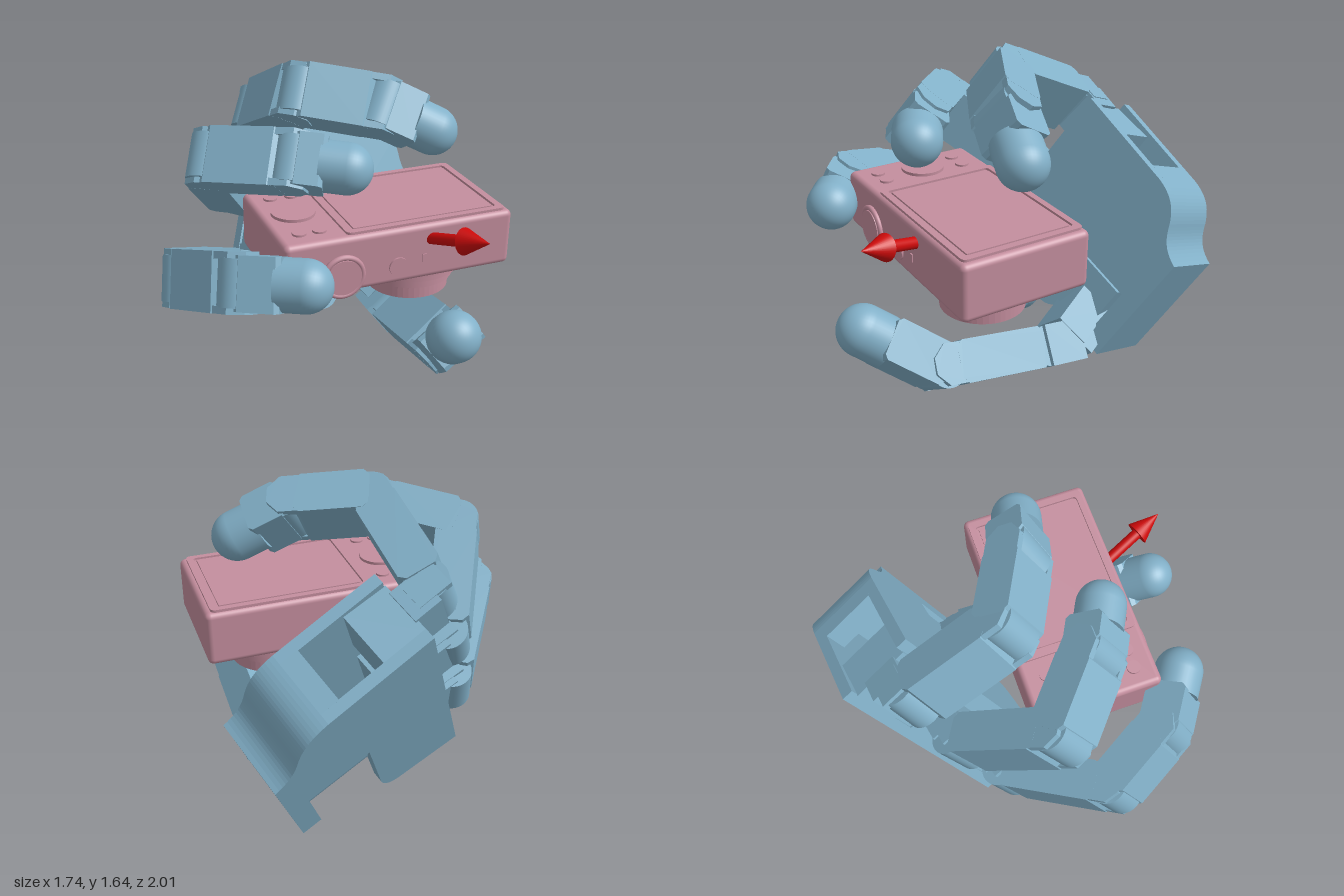
import * as THREE from 'three';
import { RoundedBoxGeometry } from 'three/addons/geometries/RoundedBoxGeometry.js';

const V = (x, y, z) => new THREE.Vector3(x, y, z);
const handMat = new THREE.MeshStandardMaterial({ color: 0x82b0c8 });
const camMat = new THREE.MeshStandardMaterial({ color: 0xc48e9e });
const arrowMat = new THREE.MeshStandardMaterial({ color: 0xcc0a0a });

function add(parent, name, geo, mat, x = 0, y = 0, z = 0) {
  const m = new THREE.Mesh(geo, mat);
  m.name = name;
  m.position.set(x, y, z);
  parent.add(m);
  return m;
}

// Group at p with the given local axes
function frame(name, p, ax, ay, az) {
  const g = new THREE.Group();
  g.name = name;
  g.quaternion.setFromRotationMatrix(new THREE.Matrix4().makeBasis(ax, ay, az));
  g.position.copy(p);
  return g;
}

// Local x = hinge, local y = from p to q
function along(name, p, q, hinge) {
  const y = q.clone().sub(p).normalize();
  const x = hinge.clone().addScaledVector(y, -hinge.dot(y)).normalize();
  return frame(name, p, x, y, x.clone().cross(y));
}

// Side profile with chamfered ends, extruded to width w
function linkGeo(a, b, d, w, c = 0.04) {
  const h = d / 2;
  const s = new THREE.Shape([[a, -h + c], [a + c, -h], [b - c, -h], [b, -h + c], [b, h - c], [b - c, h], [a + c, h], [a, h - c]]
    .map(([l, t]) => new THREE.Vector2(t, l)));
  const g = new THREE.ExtrudeGeometry(s, { depth: w, bevelEnabled: false });
  return g.translate(0, 0, -w / 2).rotateY(Math.PI / 2);
}

const WIDTH = 0.285, DEPTH = 0.208;

// One phalanx: body, round knuckle at its start, clevis cheeks at its end
function phalanx(name, p, q, hinge, first, last) {
  const g = along(name, p, q, hinge), L = p.distanceTo(q);
  add(g, 'knuckle', new THREE.CylinderGeometry(0.104, 0.104, WIDTH - 0.06, 40).rotateZ(Math.PI / 2), handMat);
  if (last) {
    add(g, 'body', linkGeo(0, L - 0.1, DEPTH, WIDTH - 0.03, 0.02), handMat);
    add(g, 'tipSleeve', new THREE.CylinderGeometry(0.127, 0.127, 0.13, 40), handMat, 0, L - 0.065);
    add(g, 'fingertip', new THREE.SphereGeometry(0.127, 40, 24), handMat, 0, L);
  } else {
    add(g, 'body', linkGeo(first ? 0.04 : 0, L - 0.05, DEPTH, WIDTH, 0.03), handMat);
    for (const s of [-1, 1])
      add(g, 'cheek', linkGeo(L - 0.16, L + 0.08, DEPTH - 0.01, 0.035, 0.06), handMat, s * (WIDTH / 2 - 0.018));
  }
  return g;
}

function digit(name, joints, hinge) {
  const g = new THREE.Group();
  g.name = name;
  const [a, b] = joints, n = joints.length;
  const h = hinge || b.clone().sub(a).cross(joints[n - 1].clone().sub(b)).normalize();
  for (let i = 0; i + 1 < n; i++)
    g.add(phalanx('phalanx' + (i + 1), joints[i], joints[i + 1], h, i === 0, i + 2 === n));
  return g;
}

// Outer edge from the narrow wrist out to full palm width
function wristCurve(s) {
  s.lineTo(0.285, -0.95);
  s.bezierCurveTo(0.31, -0.85, 0.36, -0.82, 0.42, -0.79);
  s.bezierCurveTo(0.49, -0.75, 0.53, -0.7, 0.545, -0.6);
}

// Local x across the palm, y toward the fingers, z out of the palm
function buildPalm() {
  const y = V(-0.894, 0.424, 0.149).normalize();
  const z = V(0.316, 0.357, 0.88);
  z.addScaledVector(y, -z.dot(y)).normalize();
  const g = frame('palm', V(-0.136, 0.777, -0.478), y.clone().cross(z), y, z);

  // Front and back plates with the thumb notch
  const s = new THREE.Shape();
  s.moveTo(-0.345, -0.95);
  wristCurve(s);
  s.lineTo(0.59, -0.02);
  s.lineTo(-0.63, 0);
  s.lineTo(-0.58, -0.36);
  s.quadraticCurveTo(-0.57, -0.47, -0.46, -0.48);
  s.lineTo(-0.02, -0.48);
  s.lineTo(-0.02, -0.84);
  s.lineTo(-0.345, -0.84);
  s.closePath();
  const plate = new THREE.ExtrudeGeometry(s, { depth: 0.06, bevelEnabled: false, curveSegments: 12 });
  add(g, 'frontPlate', plate, handMat, 0, 0, 0.152);
  add(g, 'backPlate', plate, handMat, 0, 0, -0.212);

  // Solid wrist side between the plates
  const w = new THREE.Shape();
  w.moveTo(-0.345, -0.95);
  wristCurve(w);
  w.lineTo(0.553, -0.5);
  w.lineTo(0.42, -0.5);
  w.lineTo(0.28, -0.84);
  w.lineTo(-0.345, -0.84);
  w.closePath();
  add(g, 'wristBlock', new THREE.ExtrudeGeometry(w, { depth: 0.31, bevelEnabled: false, curveSegments: 12 }), handMat, 0, 0, -0.155);

  // Finger mounts, one short swivel link each
  for (const k of [-1, 0, 1]) {
    add(g, 'fingerMotor', new THREE.BoxGeometry(0.28, 0.24, 0.31), handMat, k * 0.41, -0.13, 0);
    const m = add(g, 'swivelLink', new THREE.BoxGeometry(WIDTH - 0.04, 0.15, DEPTH - 0.02), handMat, k * 0.45, 0.06, 0.01);
    m.rotation.z = -k * 0.087;
    for (const c of [-1, 1]) {
      const e = add(g, 'swivelCheek', new THREE.BoxGeometry(0.035, 0.18, 0.14), handMat, k * 0.455 + c * 0.11, 0.12, 0.02);
      e.rotation.z = -k * 0.087;
    }
  }
  add(g, 'mountRail', new THREE.BoxGeometry(1.0, 0.08, 0.31), handMat, -0.02, -0.06, 0);

  // Thumb motor in the notch
  add(g, 'thumbMotor', new THREE.CylinderGeometry(0.1, 0.1, 0.36, 32), handMat, -0.14, -0.66, -0.07);
  add(g, 'thumbMount', new THREE.BoxGeometry(0.28, 0.3, 0.18), handMat, -0.18, -0.66, 0.1);
  return g;
}

function buildThumb() {
  const base = V(0.52, 0.18, -0.2), j1 = V(0.51, 0.195, -0.02), j2 = V(0.51, 0.285, 0.56), tip = V(0.383, 0.53, 0.88);
  const hinge = V(0.8, 0.6, 0).normalize();
  const g = digit('thumb', [j1, j2, tip], hinge);
  // Swivel link and bracket leading back into the notch
  const swivel = along('thumbSwivel', base, j1, hinge);
  add(swivel, 'swivelBody', new THREE.BoxGeometry(WIDTH, 0.2, DEPTH), handMat, 0, 0.09, 0);
  g.add(swivel);
  const arm = along('thumbBracket', V(0.43, 0.32, -0.36), V(0.52, 0.23, -0.14), hinge);
  add(arm, 'bracketBody', new THREE.BoxGeometry(0.24, 0.24, 0.18), handMat, 0, 0.12, 0);
  add(arm, 'bracketEar', new THREE.BoxGeometry(0.2, 0.18, 0.08), handMat, 0, 0.15, 0.12);
  g.add(arm);
  return g;
}

function buildCamera() {
  const g = new THREE.Group();
  g.name = 'camera';
  add(g, 'cameraBody', new RoundedBoxGeometry(1.19, 0.29, 0.675, 4, 0.03), camMat, 0.232, 0.849, 0.26);

  // Screen with raised frame
  const rect = (P, hw, hh, r) => {
    const s = new P();
    s.moveTo(-hw + r, -hh);
    s.lineTo(hw - r, -hh); s.quadraticCurveTo(hw, -hh, hw, -hh + r);
    s.lineTo(hw, hh - r); s.quadraticCurveTo(hw, hh, hw - r, hh);
    s.lineTo(-hw + r, hh); s.quadraticCurveTo(-hw, hh, -hw, hh - r);
    s.lineTo(-hw, -hh + r); s.quadraticCurveTo(-hw, -hh, -hw + r, -hh);
    return s;
  };
  const rim = rect(THREE.Shape, 0.42, 0.317, 0.03);
  rim.holes.push(rect(THREE.Path, 0.385, 0.285, 0.02));
  add(g, 'screenFrame', new THREE.ExtrudeGeometry(rim, { depth: 0.03, bevelEnabled: false }).rotateX(-Math.PI / 2), camMat, 0.375, 0.976, 0.258);
  add(g, 'screen', new THREE.BoxGeometry(0.74, 0.03, 0.54), camMat, 0.375, 0.988, 0.258);

  // Dial and buttons beside the screen
  for (const [r, x, z, h] of [[0.11, -0.2, 0.25, 0.03], [0.035, -0.25, 0.05, 0.02], [0.035, -0.14, 0.05, 0.02], [0.035, -0.25, 0.48, 0.02], [0.035, -0.15, 0.48, 0.02]])
    add(g, 'button', new THREE.CylinderGeometry(r, r, h, 32), camMat, x, 0.994, z);

  // Details on the long side
  add(g, 'sideRing', new THREE.TorusGeometry(0.1, 0.014, 12, 48), camMat, -0.076, 0.797, 0.605);
  add(g, 'sideDial', new THREE.CylinderGeometry(0.09, 0.09, 0.04, 40).rotateX(Math.PI / 2), camMat, -0.076, 0.797, 0.6);
  add(g, 'sideButton', new THREE.CylinderGeometry(0.048, 0.048, 0.02, 32).rotateX(Math.PI / 2), camMat, 0.212, 0.797, 0.597);
  add(g, 'sideSlot', new THREE.BoxGeometry(0.02, 0.04, 0.02), camMat, 0.35, 0.82, 0.593);

  // Telescoping lens underneath, as stacked rings
  for (const [r, bottom] of [[0.3, 0.685], [0.265, 0.64], [0.235, 0.59]])
    add(g, 'lensRing', new THREE.CylinderGeometry(r, r, 0.75 - bottom, 48), camMat, 0.427, (0.75 + bottom) / 2, 0.26);
  const barrel = new THREE.Shape().absarc(0, 0, 0.213, 0, Math.PI * 2);
  barrel.holes.push(new THREE.Path().absarc(0, 0, 0.13, 0, Math.PI * 2, true));
  add(g, 'lensBarrel', new THREE.ExtrudeGeometry(barrel, { depth: 0.1, bevelEnabled: false, curveSegments: 24 }).rotateX(-Math.PI / 2), camMat, 0.427, 0.52, 0.26);
  add(g, 'lensGlass', new THREE.CylinderGeometry(0.13, 0.09, 0.04, 40), camMat, 0.427, 0.575, 0.26);
  return g;
}

function buildArrow() {
  const a = V(0.375, 0.905, 0.56), t = V(0.51, 1.015, 0.92), L = a.distanceTo(t);
  const g = along('arrow', a, t, V(1, 0, 0));
  add(g, 'arrowShaft', new THREE.CylinderGeometry(0.029, 0.029, L - 0.15, 24), arrowMat, 0, (L - 0.15) / 2);
  add(g, 'arrowHead', new THREE.ConeGeometry(0.066, 0.155, 32), arrowMat, 0, L - 0.0775);
  return g;
}

export function createModel() {
  const model = new THREE.Group();
  model.name = 'robotHandHoldingCamera';
  model.add(
    buildPalm(),
    digit('upperFinger', [V(-0.115, 1.235, -0.62), V(-0.03, 1.475, -0.11), V(0.34, 1.42, 0.08), V(0.595, 1.288, 0.15)]),
    digit('middleFinger', [V(-0.294, 0.852, -0.452), V(-0.535, 1.225, -0.02), V(-0.2, 1.27, 0.27), V(0.025, 1.25, 0.39)]),
    digit('lowerFinger', [V(-0.42, 0.45, -0.256), V(-0.75, 0.72, 0.21), V(-0.565, 0.835, 0.55), V(-0.305, 0.855, 0.725)]),
    buildThumb(),
    buildCamera(),
    buildArrow()
  );
  return model;
}
